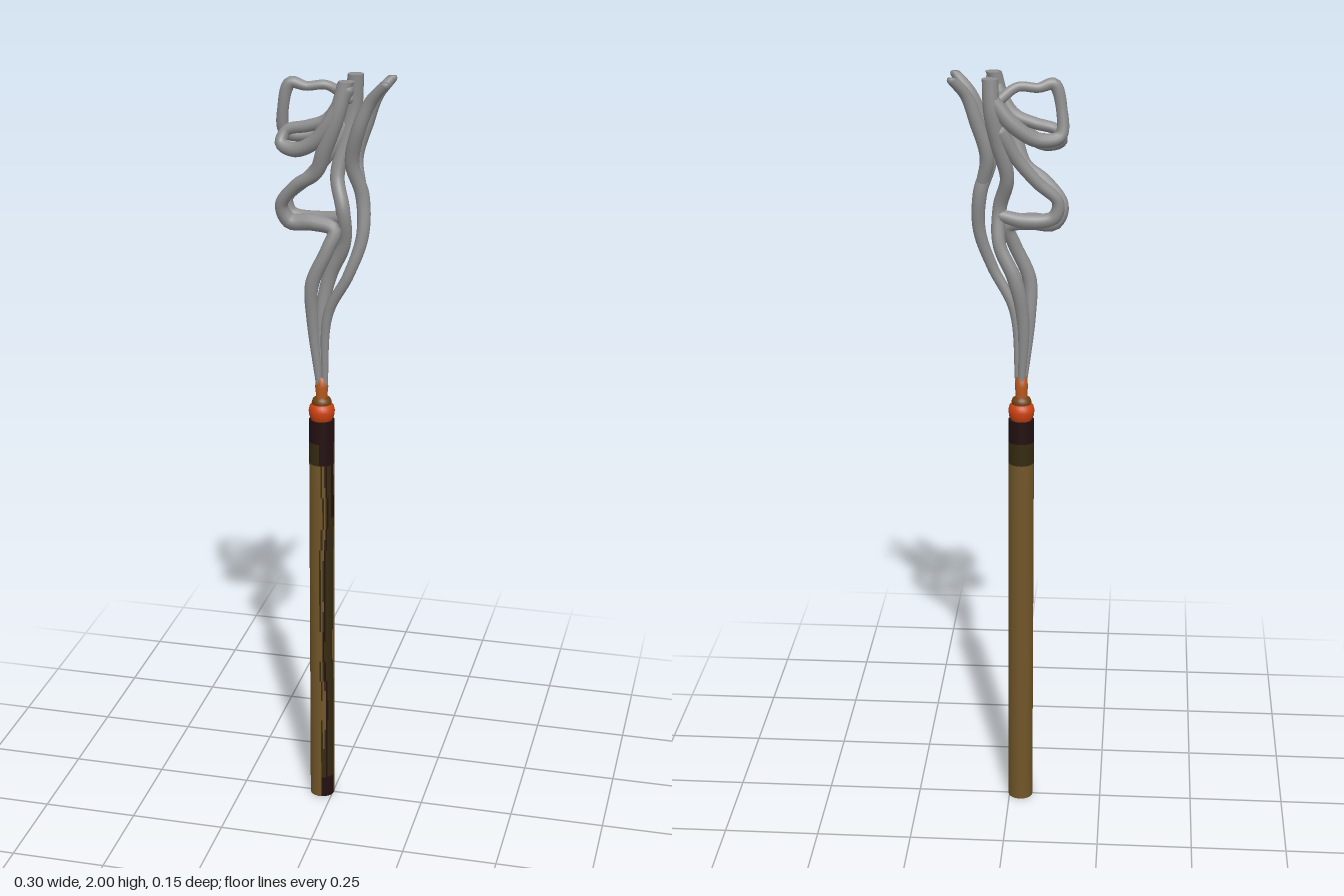
import * as THREE from 'three';

const mat = (name, color) => Object.assign(new THREE.MeshStandardMaterial({ color }), { name });
const CX = -0.03; // axis of the stick
const R = 0.033;

// Tube of changing radius along a smooth path; points are [x, y, z, radius]
function strand(points, sides = 12) {
  const curve = new THREE.CatmullRomCurve3(points.map(p => new THREE.Vector3(p[0], p[1], p[2])));
  const steps = points.length * 8;
  const geo = new THREE.TubeGeometry(curve, steps, 1, sides, false);
  const pos = geo.attributes.position;
  const v = new THREE.Vector3();
  for (let i = 0; i <= steps; i++) {
    const centre = curve.getPointAt(i / steps);
    const t = curve.getUtoTmapping(i / steps) * (points.length - 1);
    const k = Math.min(Math.floor(t), points.length - 2);
    const r = THREE.MathUtils.lerp(points[k][3], points[k + 1][3], t - k);
    for (let j = 0; j <= sides; j++) {
      const n = i * (sides + 1) + j;
      v.fromBufferAttribute(pos, n).sub(centre).multiplyScalar(r).add(centre);
      pos.setXYZ(n, v.x, Math.min(v.y, 2), v.z); // flat cut at the top
    }
  }
  return geo;
}

export function createModel() {
  const model = new THREE.Group();
  const tan = mat('tan stick', 0x705528);
  const olive = mat('scorched olive', 0x352a10);
  const char = mat('charred', 0x230f10);
  const ember = mat('ember', 0xcc4210);
  const ash = mat('ember ring', 0x70400f);
  const tip = mat('ember tip', 0xb5561c);
  const smoke = mat('smoke', 0x8e8e8e);
  smoke.side = THREE.DoubleSide;

  const add = (name, geo, material, x = 0, y = 0) => {
    const mesh = new THREE.Mesh(geo, material);
    mesh.name = name;
    mesh.position.set(x, y, 0);
    model.add(mesh);
    return mesh;
  };

  // Stick: each facet takes tan, olive or char from its angle and height
  const N = 48, ROWS = 37, H = 1.11;
  const stick = new THREE.CylinderGeometry(R, R, H, N, ROWS, true);
  stick.clearGroups();
  for (let i = 0; i < N; i++) {
    const angle = (i + 0.5) / N * 360;
    for (let j = 0; j < ROWS; j++) {
      const y = H * (1 - (j + 0.5) / ROWS);
      const wobble = 7 * Math.sin(y * 9) + 4 * Math.sin(y * 23 + 1);
      const scorched = angle > 4 + wobble && angle < 78 + wobble;
      const streak = Math.abs(angle - 16 - wobble) < 5 && y > 0.15 && y < 1;
      let m = 0;
      if (scorched && !streak) m = 1;
      if (y > 0.99) m = 1;
      if (y > 1.05 || (scorched && (y < 0.06 || y > 1.0))) m = 2;
      if (scorched && angle > 60 && y > 0.85) m = 2;
      if (scorched && Math.abs(angle - 30 - wobble) < 4) m = 2;
      stick.addGroup((i * ROWS + j) * 6, 6, m);
    }
  }
  add('stick', stick, [tan, olive, char], CX, H / 2);

  // End caps
  add('stickBase', new THREE.CircleGeometry(R, N).rotateX(Math.PI / 2), olive, CX, 0);
  add('stickTop', new THREE.CircleGeometry(R, N).rotateX(-Math.PI / 2), char, CX, H);

  // Glowing end: bulb, ring and tapering tip
  const lathe = (name, profile, material) =>
    add(name, new THREE.LatheGeometry(profile.map(p => new THREE.Vector2(p[0], p[1])), 24), material, CX, 0);
  lathe('emberBulb', [[0.026, 1.108], [0.032, 1.12], [0.034, 1.135], [0.031, 1.148], [0.024, 1.154]], ember);
  lathe('emberRing', [[0.024, 1.15], [0.026, 1.158], [0.023, 1.167], [0.014, 1.173]], ash);
  lathe('emberTip', [[0.016, 1.165], [0.015, 1.18], [0.017, 1.2], [0.014, 1.225], [0, 1.23]], tip);

  // Smoke strands
  const strands = {
    smokeFrontCurl: [
      [-0.035, 1.2, 0.005, 0.008], [-0.05, 1.38, 0.016, 0.015], [-0.048, 1.48, 0.026, 0.018],
      [-0.01, 1.57, 0.022, 0.017], [0.005, 1.62, 0.01, 0.018], [-0.05, 1.635, 0.004, 0.022],
      [-0.11, 1.635, 0.002, 0.022], [-0.13, 1.675, 0.01, 0.016], [-0.09, 1.73, 0.025, 0.016],
      [-0.035, 1.77, 0.038, 0.018], [-0.01, 1.83, 0.05, 0.02], [0.02, 1.91, 0.055, 0.02], [0.045, 2.01, 0.045, 0.019]],
    smokeBackStem: [
      [-0.03, 1.2, -0.005, 0.008], [-0.035, 1.38, -0.018, 0.016], [-0.015, 1.49, -0.028, 0.019],
      [0.025, 1.58, -0.018, 0.017], [0.025, 1.67, 0.0, 0.018], [0.005, 1.75, -0.025, 0.018],
      [0.025, 1.84, -0.045, 0.02], [0.04, 1.92, -0.055, 0.021], [0.045, 2.01, -0.05, 0.02]],
    smokeBackCurl: [
      [0.02, 1.65, -0.005, 0.016], [-0.04, 1.64, -0.014, 0.02], [-0.11, 1.65, -0.014, 0.018],
      [-0.12, 1.69, -0.014, 0.015], [-0.07, 1.74, -0.024, 0.016], [-0.02, 1.8, -0.034, 0.017],
      [0.02, 1.87, -0.05, 0.018]],
    smokeRightStem: [
      [-0.022, 1.2, 0.002, 0.008], [-0.01, 1.4, 0.012, 0.013], [0.045, 1.51, 0.02, 0.014],
      [0.077, 1.61, 0.008, 0.016], [0.073, 1.71, -0.005, 0.018], [0.05, 1.79, 0.008, 0.018],
      [0.07, 1.88, 0.028, 0.018], [0.1, 1.95, 0.03, 0.016], [0.137, 1.995, 0.042, 0.012]],
    smokeRightBranch: [
      [0.068, 1.73, -0.004, 0.016], [0.055, 1.8, -0.018, 0.018], [0.08, 1.89, -0.026, 0.018],
      [0.105, 1.955, -0.03, 0.015], [0.137, 1.995, -0.048, 0.012]],
    smokeUpperFrontLoop: [
      [0.045, 1.98, 0.048, 0.018], [0.01, 1.91, 0.055, 0.018], [-0.035, 1.85, 0.05, 0.019],
      [-0.085, 1.825, 0.038, 0.019], [-0.125, 1.835, 0.024, 0.016], [-0.115, 1.865, 0.01, 0.014],
      [-0.06, 1.88, 0.014, 0.015], [-0.01, 1.9, 0.02, 0.016], [0.03, 1.96, 0.03, 0.014]],
    smokeUpperBackLoop: [
      [0.04, 1.95, -0.055, 0.018], [-0.01, 1.89, -0.054, 0.02], [-0.07, 1.85, -0.038, 0.019],
      [-0.125, 1.855, -0.018, 0.016], [-0.127, 1.92, -0.006, 0.014], [-0.108, 1.98, -0.005, 0.016],
      [-0.07, 1.972, -0.012, 0.012], [-0.02, 1.975, -0.02, 0.012], [0.03, 1.94, -0.04, 0.014]],
  };
  for (const [name, points] of Object.entries(strands)) {
    add(name, strand(points), smoke);
    // Rounded ends
    for (const p of [points[0], points[points.length - 1]]) {
      if (p[1] > 2) continue;
      const end = new THREE.SphereGeometry(p[3], 12, 8).translate(p[0], p[1], p[2]);
      const pos = end.attributes.position;
      for (let i = 0; i < pos.count; i++) pos.setY(i, Math.min(pos.getY(i), 2));
      add(name + 'End', end, smoke);
    }
    // Flat cut ends
    const last = points[points.length - 1];
    if (last[1] > 2) {
      add(name + 'Cut', new THREE.CircleGeometry(last[3], 16).rotateX(-Math.PI / 2)
        .translate(last[0], 2, last[2]), smoke);
    }
  }
  return model;
}
